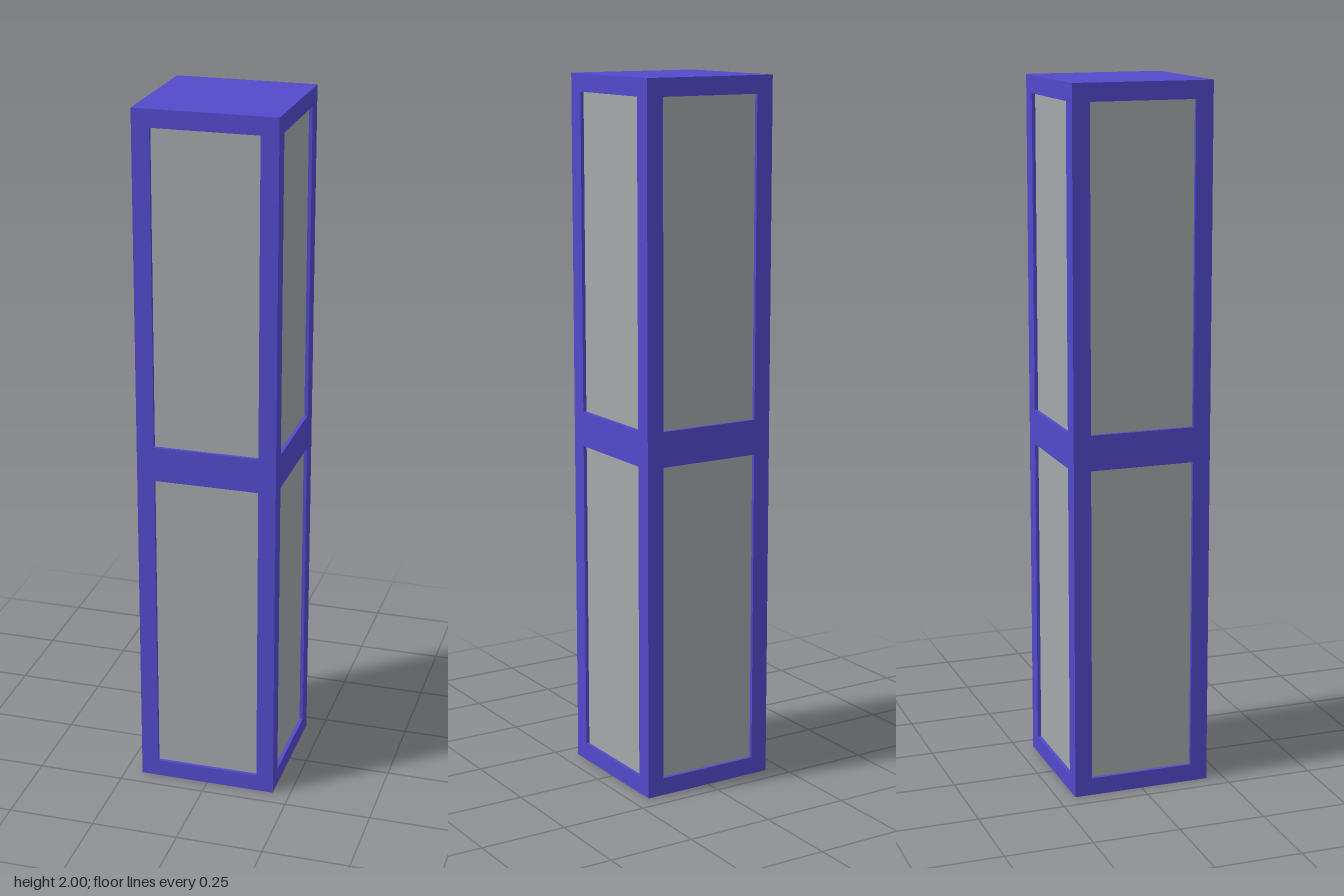
import * as THREE from 'three';

const WIDTH = 0.4, HEIGHT = 2, BAR = 0.05, RECESS = 0.01;

export function createModel() {
  const model = new THREE.Group();
  model.name = 'panelledPillar';
  const frameBlue = new THREE.MeshStandardMaterial({ name: 'frameBlue', color: 0x5349cc });
  const panelGrey = new THREE.MeshStandardMaterial({ name: 'panelGrey', color: 0xa3a8aa });

  // Box standing between two heights
  function box(name, material, width, y0, y1, x = 0, z = 0) {
    const mesh = new THREE.Mesh(new THREE.BoxGeometry(width, y1 - y0, width), material);
    mesh.name = name;
    mesh.position.set(x, (y0 + y1) / 2, z);
    model.add(mesh);
  }

  // Horizontal members: base, middle band and cap
  box('base', frameBlue, WIDTH, 0, BAR);
  box('middleBand', frameBlue, WIDTH, HEIGHT / 2 - BAR, HEIGHT / 2 + BAR);
  box('cap', frameBlue, WIDTH, HEIGHT - BAR, HEIGHT);

  // Two tiers of recessed panels, each with four corner posts
  const tiers = [
    ['lower', BAR, HEIGHT / 2 - BAR],
    ['upper', HEIGHT / 2 + BAR, HEIGHT - BAR],
  ];
  const offset = (WIDTH - BAR) / 2;
  for (const [tier, y0, y1] of tiers) {
    box(`${tier}Panels`, panelGrey, WIDTH - 2 * RECESS, y0, y1);
    for (const sx of [-1, 1]) {
      for (const sz of [-1, 1]) {
        const corner = (sz > 0 ? 'Front' : 'Back') + (sx > 0 ? 'Left' : 'Right');
        box(`${tier}${corner}Post`, frameBlue, BAR, y0, y1, sx * offset, sz * offset);
      }
    }
  }
  return model;
}
